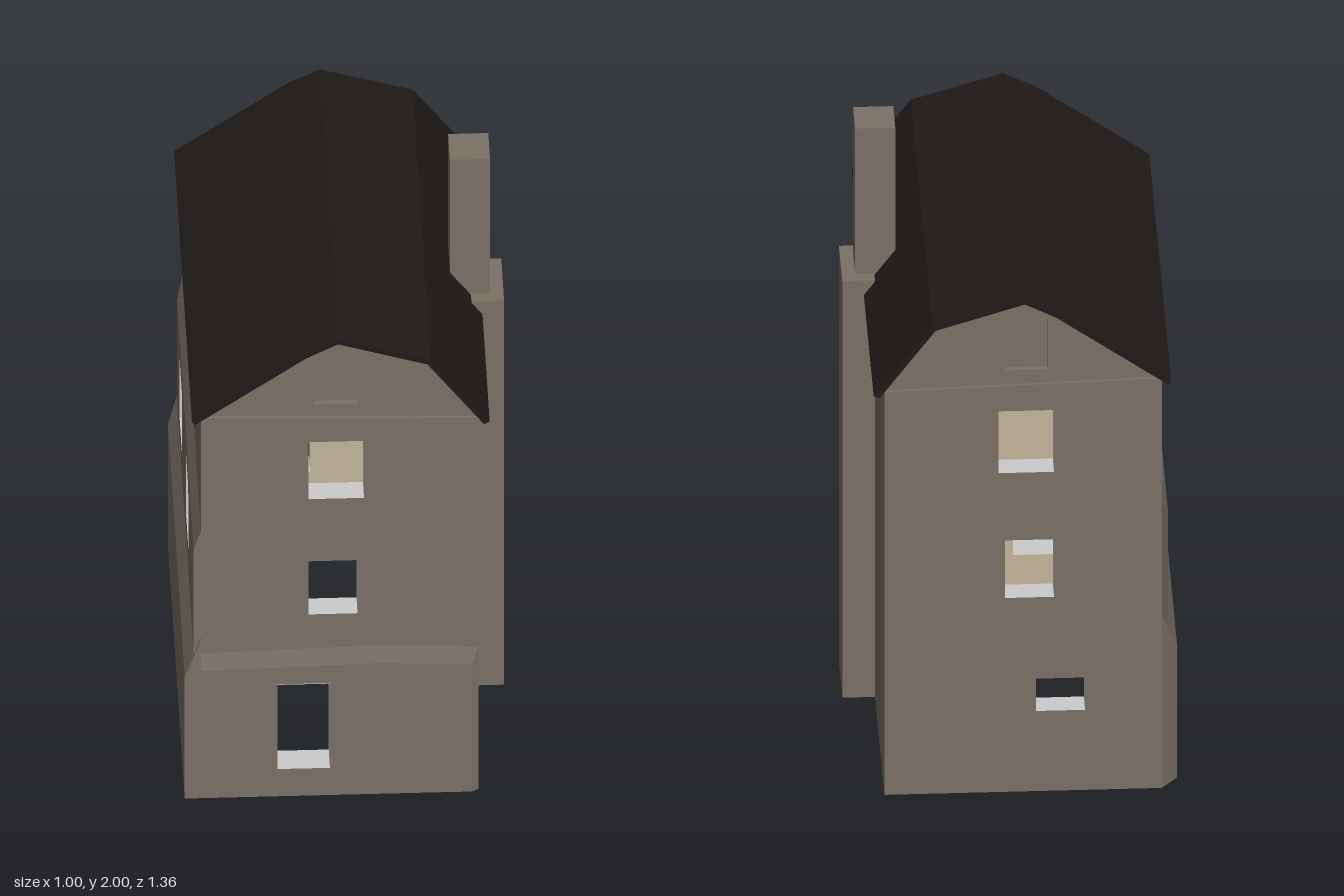
import * as THREE from 'three';

const paint = (color) => new THREE.MeshStandardMaterial({ color, side: THREE.DoubleSide, flatShading: true });
const stone = paint(0x7a7166);
const plaster = paint(0xc2b49b);
const slate = paint(0x1f1a17);
const grey = paint(0xcccccc);

const T = 0.08; // wall thickness
const CEILING = 1.42;

function add(parent, name, geometry, material) {
  const mesh = new THREE.Mesh(geometry, material);
  mesh.name = name;
  parent.add(mesh);
  return mesh;
}

// Flat outline with rectangular holes [a0, a1, y0, y1], each grown by g
function outlined(points, holes = [], g = 0) {
  const shape = new THREE.Shape(points.map(([x, y]) => new THREE.Vector2(x, y)));
  for (const [a0, a1, y0, y1] of holes) {
    const corners = [[a0 - g, y0 - g], [a0 - g, y1 + g], [a1 + g, y1 + g], [a1 + g, y0 - g]];
    shape.holes.push(new THREE.Path(corners.map(([x, y]) => new THREE.Vector2(x, y))));
  }
  return shape;
}

const rect = (a0, a1, y0, y1) => [[a0, y0], [a1, y0], [a1, y1], [a0, y1]];

// Lining of an opening: a box without its front and rear faces (and no floor for a door)
function reveal(parent, [a0, a1, y0, y1], outer, depth) {
  const geo = new THREE.BoxGeometry(a1 - a0, y1 - y0, depth);
  geo.setIndex(Array.from(geo.index.array).slice(0, y0 === 0 ? 18 : 24));
  geo.clearGroups();
  geo.translate((a0 + a1) / 2, (y0 + y1) / 2, outer - depth / 2);
  add(parent, 'openingReveal', geo, grey);
}

// Wall in its own plane: outer stone face, inner plaster face, lined openings
function wall(house, { name, turn, dist, outline, lining, windows = [], door, recess, skin = () => 0 }) {
  const group = new THREE.Group();
  group.name = name;
  group.rotation.y = turn;
  const cuts = recess ? [...windows, recess] : windows;
  add(group, 'outerFace', new THREE.ShapeGeometry(outlined(outline, cuts)).translate(0, 0, dist), stone);
  add(group, 'innerFace', new THREE.ShapeGeometry(outlined(lining, windows)).translate(0, 0, dist - T), plaster);
  for (const w of windows) reveal(group, w, dist + skin(w), T + skin(w));
  if (door) reveal(group, door, dist, T);
  if (recess) {
    const [a0, a1, y0, y1] = recess;
    const sunk = new THREE.BoxGeometry(a1 - a0, y1 - y0, 0.02);
    sunk.setIndex(Array.from(sunk.index.array).filter((_, i) => i < 24 || i >= 30)); // no front face
    sunk.clearGroups();
    add(group, 'atticPanel', sunk.translate((a0 + a1) / 2, (y0 + y1) / 2, dist - 0.01), stone);
  }
  house.add(group);
  return group;
}

// Thickened lower masonry whose outer rim is drawn in to give sloping ledges and ends
function ledge(parent, name, { a0, a1, top, rise, drop, base, depth, in0, in1, holes = [] }) {
  const mid = a0 + (a1 - a0) * 0.65;
  const points = [[a0, 0], [a1, 0], [a1, top], [mid, top + rise], [a0, top]];
  const geo = new THREE.ExtrudeGeometry(outlined(points, holes, 0.002), { depth, bevelEnabled: false });
  const p = geo.attributes.position;
  for (let i = 0; i < p.count; i++) {
    if (p.getZ(i) < depth / 2) continue;
    const x = p.getX(i), y = p.getY(i);
    if (y > top - 0.04) p.setY(i, y - drop);
    if (x < a0 + 0.001) p.setX(i, x + in0);
    if (x > a1 - 0.001) p.setX(i, x - in1);
  }
  geo.translate(0, 0, base);
  geo.computeVertexNormals();
  add(parent, name, geo, stone);
}

export function createModel() {
  const house = new THREE.Group();
  house.name = 'house';

  // Gable walls
  const gable = [[-0.45, 0], [0.4, 0], [0.4, 1.445], [0.245, 1.655], [-0.03, 1.743], [-0.13, 1.693], [-0.45, 1.46]];
  const mirror = (pts) => pts.map(([x, y]) => [-x, y]).reverse();
  const flip = ([a0, a1, y0, y1]) => [-a1, -a0, y0, y1];
  const upper = [[-0.12, 0.05, 1.135, 1.355], [-0.12, 0.03, 0.69, 0.895]];
  const frontLow = [-0.215, -0.055, 0.105, 0.43];
  const backLow = [-0.215, -0.065, 0.285, 0.4];
  const attic = [-0.1, 0.03, 1.5, 1.68];
  const endLining = rect(-0.37, 0.32, 0, CEILING);

  const front = wall(house, {
    name: 'frontWall', turn: 0, dist: 0.66, outline: gable, lining: endLining,
    windows: [...upper, frontLow], recess: attic, skin: (w) => (w === frontLow ? 0.012 : 0),
  });
  const back = wall(house, {
    name: 'backWall', turn: Math.PI, dist: 0.66, outline: mirror(gable), lining: mirror(endLining),
    windows: [...upper, backLow].map(flip), recess: flip(attic),
  });
  ledge(front, 'frontLedge', {
    a0: -0.45, a1: 0.4, top: 0.55, rise: 0.015, drop: 0.06, base: 0.66, depth: 0.012, in0: 0, in1: 0.02, holes: [frontLow],
  });

  // Slightly sloping cornice under each gable
  for (const [end, s] of [[front, 1], [back, -1]]) {
    const cornice = add(end, 'cornice', new THREE.BoxGeometry(0.85, 0.022, 0.012), stone);
    cornice.position.set(-0.025 * s, 1.441, 0.664);
    cornice.rotation.z = -0.03 * s;
  }

  // Left-hand long wall (-x) with four windows and two ledges
  const lowWindows = [[-0.41, -0.24, 0.64, 0.87], [0.09, 0.26, 0.645, 0.875]];
  const highWindows = [[-0.42, -0.24, 1.13, 1.35], [0.08, 0.24, 1.13, 1.36]];
  const side = wall(house, {
    name: 'windowWall', turn: -Math.PI / 2, dist: 0.45,
    outline: rect(-0.66, 0.66, 0, 1.46), lining: rect(-0.58, 0.58, 0, CEILING),
    windows: [...lowWindows, ...highWindows], skin: (w) => (w[3] < 1 ? 0.022 : 0),
  });
  ledge(side, 'middleLedge', {
    a0: -0.66, a1: 0.66, top: 1.02, rise: 0.01, drop: 0.07, base: 0.45, depth: 0.022, in0: 0.06, in1: 0, holes: lowWindows,
  });
  ledge(side, 'lowerLedge', {
    a0: -0.66, a1: 0.672, top: 0.61, rise: 0.01, drop: 0.14, base: 0.45, depth: 0.05, in0: 0.06, in1: 0,
  });

  // Doorway wall (+x)
  wall(house, {
    name: 'doorWall', turn: Math.PI / 2, dist: 0.4,
    outline: [[-0.66, 0], [-0.58, 0], [-0.58, 1], [-0.32, 1], [-0.32, 0], [0.66, 0], [0.66, 1.445], [-0.66, 1.445]],
    lining: [[-0.32, 0], [0.58, 0], [0.58, CEILING], [-0.58, CEILING], [-0.58, 1], [-0.32, 1]],
    door: [-0.58, -0.32, 0, 1],
  });

  // Underside of the walls, open at the doorway, and the ceiling
  const footing = [[0.4, 0.58], [0.4, 0.66], [-0.45, 0.66], [-0.45, -0.66], [0.4, -0.66],
    [0.4, 0.32], [0.32, 0.32], [0.32, -0.58], [-0.37, -0.58], [-0.37, 0.58]];
  add(house, 'wallBase', new THREE.ShapeGeometry(outlined(footing)).rotateX(Math.PI / 2), stone);
  const ceiling = new THREE.PlaneGeometry(0.69, 1.16).rotateX(Math.PI / 2);
  add(house, 'ceiling', ceiling.translate(-0.025, CEILING, 0), plaster);

  // Roof: thin folded sheet
  const ridge = [[-0.478, 1.46], [-0.445, 1.485], [-0.13, 1.712], [-0.03, 1.762], [0.253, 1.676], [0.434, 1.432]];
  const under = [[0.416, 1.424], [0.244, 1.659], [-0.03, 1.745], [-0.126, 1.695], [-0.44, 1.468], [-0.47, 1.447]];
  const roof = new THREE.ExtrudeGeometry(outlined([...ridge, ...under]), { depth: 1.36, bevelEnabled: false });
  add(house, 'roof', roof.translate(0, 0, -0.68), slate);

  // Chimney: broad stack with a narrower shaft
  add(house, 'chimneyStack', new THREE.BoxGeometry(0.1, 1.483, 0.212).translate(0.45, 0.7415, 0.034), stone);
  add(house, 'chimneyShaft', new THREE.BoxGeometry(0.123, 0.56, 0.13).translate(0.397, 1.72, 0.034), stone);

  return house;
}
